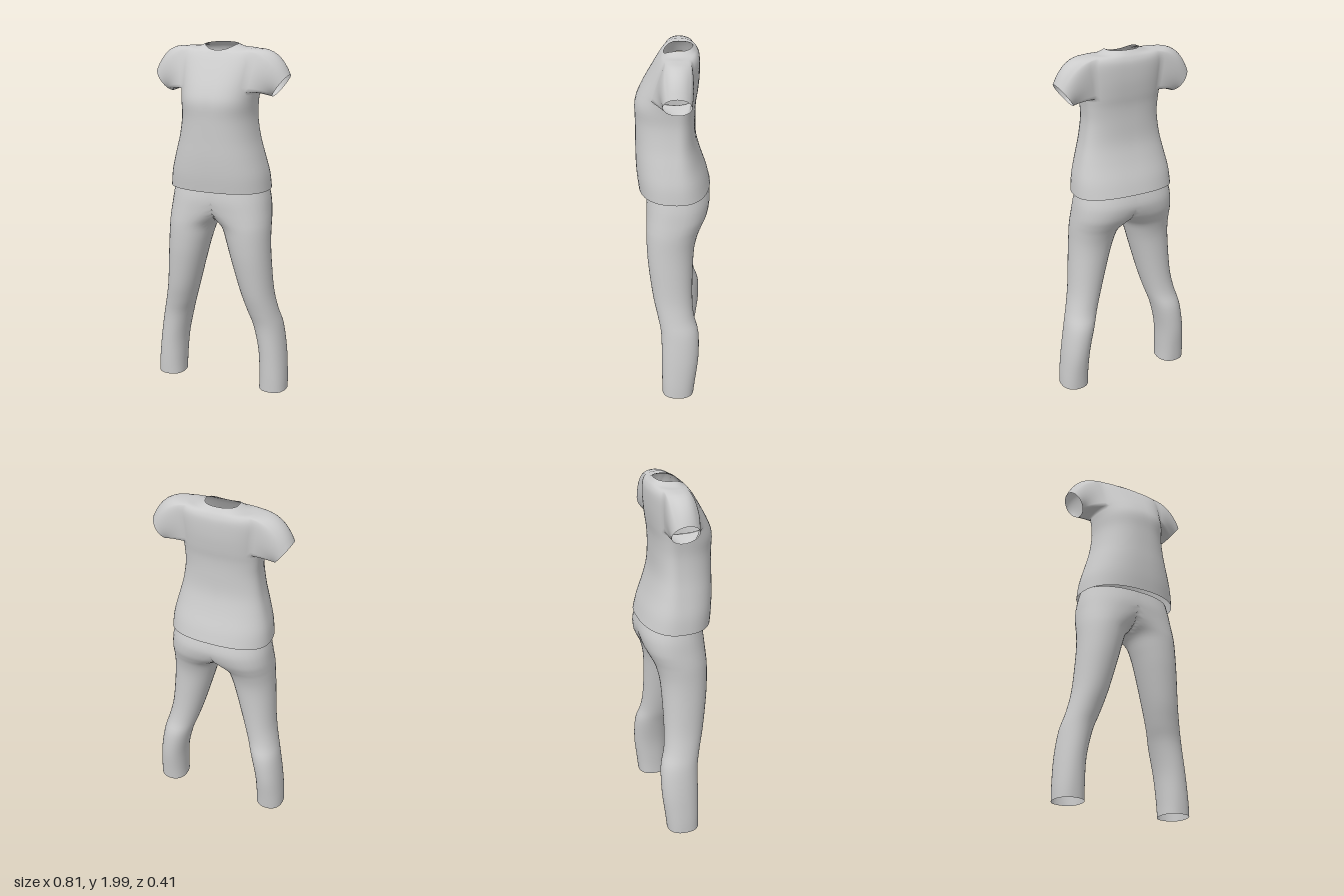
import * as THREE from 'three';
import { mergeVertices } from 'three/addons/utils/BufferGeometryUtils.js';

const STEPS = 4; // rows between two key sections

// Smooth (Catmull-Rom) in-between rows for a list of key sections
function refine(keys) {
  const rows = [];
  const last = keys.length - 1;
  const blend = (a, b, c, d, t) => 0.5 * (2 * b + (c - a) * t
    + (2 * a - 5 * b + 4 * c - d) * t * t + (3 * b - a - 3 * c + d) * t * t * t);
  for (let i = 0; i < last; i++) {
    const [a, b, c, d] = [keys[Math.max(i - 1, 0)], keys[i], keys[i + 1], keys[Math.min(i + 2, last)]];
    for (let s = 0; s < STEPS; s++) {
      rows.push(b.map((v, k) => blend(a[k], v, c[k], d[k], s / STEPS)));
    }
  }
  rows.push(keys[last]);
  return rows;
}

// Rounded-box power of a sine or cosine
const soft = (v, n) => Math.sign(v) * Math.pow(Math.abs(v), 2 / n);

// Triangles between rows of points, added to out; skip(i, j) leaves a cell open
function addGrid(out, rows, skip = () => false) {
  const tri = (...p) => {
    if (p.every((v) => v.x < 1e-5)) return; // no wall on the middle plane
    out.push(p);
  };
  for (let i = 0; i < rows.length - 1; i++) {
    for (let j = 0; j < rows[i].length - 1; j++) {
      if (skip(i, j)) continue;
      const [a, b, c, d] = [rows[i][j], rows[i + 1][j], rows[i + 1][j + 1], rows[i][j + 1]];
      tri(a, b, c);
      tri(a, c, d);
    }
  }
}

// Left half plus its mirror image, welded so the middle stays smooth
function mirroredMesh(tris, name, material) {
  const pos = [];
  for (const [a, b, c] of tris) {
    for (const p of [a, b, c]) pos.push(p.x, p.y, p.z);
    for (const p of [a, c, b]) pos.push(-p.x, p.y, p.z);
  }
  let geo = new THREE.BufferGeometry();
  geo.setAttribute('position', new THREE.Float32BufferAttribute(pos, 3));
  geo = mergeVertices(geo, 1e-4);
  geo.computeVertexNormals();
  const mesh = new THREE.Mesh(geo, material);
  mesh.name = name;
  return mesh;
}

function makeShirt(material) {
  const tris = [];
  const zc = -0.02;
  const cols = 24;
  // y front, y side, y back, half width, z front, z back, squareness
  const rows = refine([
    [1.215, 1.21, 1.225, 0.285, 0.195, -0.2, 2.4],
    [1.3, 1.3, 1.3, 0.275, 0.205, -0.18, 2.4],
    [1.4, 1.4, 1.4, 0.25, 0.21, -0.145, 2.4],
    [1.5, 1.5, 1.5, 0.224, 0.21, -0.12, 2.4],
    [1.61, 1.61, 1.61, 0.207, 0.21, -0.115, 2.4],
    [1.7, 1.69, 1.7, 0.208, 0.21, -0.117, 2.5],
    [1.77, 1.755, 1.77, 0.215, 0.185, -0.127, 2.5],
    [1.85, 1.85, 1.85, 0.225, 0.14, -0.135, 2.5],
    [1.92, 1.935, 1.93, 0.232, 0.095, -0.135, 2.5],
    [1.95, 1.976, 1.965, 0.21, 0.072, -0.125, 2.4],
    [1.962, 1.978, 1.985, 0.14, 0.062, -0.11, 2.2],
    [1.967, 1.996, 2.0, 0.09, 0.055, -0.095, 2.3],
  ]).map(([yf, ys, yb, rx, zf, zb, n]) => Array.from({ length: cols + 1 }, (_, j) => {
    const a = (j / cols - 0.5) * Math.PI;
    const s = Math.sin(a);
    const y = ys + ((s > 0 ? yf : yb) - ys) * s * s;
    const rz = s > 0 ? zf - zc : zc - zb;
    return new THREE.Vector3(rx * soft(Math.cos(a), n), y, zc + rz * soft(s, n));
  }));

  // Body with an open armhole
  const [lo, hi, left, right] = [6 * STEPS, 9 * STEPS, 7, 17];
  addGrid(tris, rows, (i, j) => i >= lo && i < hi && j >= left && j < right);

  // Armhole edge, walked once around
  const edge = [];
  for (let j = left; j < right; j++) edge.push([lo, j]);
  for (let i = lo; i < hi; i++) edge.push([i, right]);
  for (let j = right; j > left; j--) edge.push([hi, j]);
  for (let i = hi; i >= lo; i--) edge.push([i, left]);

  // Sleeve: each edge point curves over the shoulder to the tilted cuff
  const curves = edge.map(([i, j]) => {
    const a = Math.atan2((2 * i - lo - hi) / (hi - lo), (2 * j - left - right) / (right - left));
    const [c, s] = [Math.cos(a), Math.sin(a)];
    const cuff = new THREE.Vector3(0.34 + 0.045 * s, 1.786 + 0.06 * s, -0.024 + 0.074 * c);
    const lift = (1 + s) / 2;
    const mid = rows[i][j].clone().lerp(cuff, 0.5)
      .add(new THREE.Vector3(0.03 * lift, 0.075 * lift, 0.012 * c));
    return new THREE.QuadraticBezierCurve3(rows[i][j], mid, cuff);
  });
  addGrid(tris, Array.from({ length: 9 }, (_, k) => curves.map((q) => q.getPoint(k / 8))));
  return mirroredMesh(tris, 'shirt', material);
}

function makeTrousers(material) {
  const tris = [];
  const cols = 36;
  // y, outer x, inner x, z front, z back, squareness; inner x < 0 merges with the other leg
  const rows = refine([
    [0.012, 0.404, 0.243, 0.06, -0.12, 2.3],
    [0.1, 0.402, 0.242, 0.062, -0.13, 2.2],
    [0.25, 0.39, 0.232, 0.063, -0.147, 2.1],
    [0.4, 0.368, 0.2, 0.068, -0.145, 2.1],
    [0.5, 0.343, 0.168, 0.088, -0.118, 2.1],
    [0.62, 0.32, 0.132, 0.115, -0.108, 2.1],
    [0.8, 0.306, 0.083, 0.14, -0.11, 2.1],
    [0.91, 0.3, 0.052, 0.148, -0.118, 2.1],
    [0.99, 0.298, 0.022, 0.15, -0.138, 2.1],
    [1.04, 0.295, -0.035, 0.15, -0.162, 2.2],
    [1.09, 0.29, -0.11, 0.15, -0.186, 2.3],
    [1.16, 0.282, -0.21, 0.15, -0.2, 2.3],
    [1.23, 0.268, -0.268, 0.14, -0.187, 2.3],
  ]).map(([y, xo, xi, zf, zb, n]) => Array.from({ length: cols + 1 }, (_, j) => {
    const a = ((j % cols) / cols) * Math.PI * 2;
    const x = (xo + xi) / 2 + ((xo - xi) / 2) * soft(Math.cos(a), n);
    return new THREE.Vector3(Math.max(x, 0), y, (zf + zb) / 2 + ((zf - zb) / 2) * soft(Math.sin(a), n));
  }));
  addGrid(tris, rows);
  return mirroredMesh(tris, 'trousers', material);
}

export function createModel() {
  const material = new THREE.MeshStandardMaterial({ color: 0xcccccc, side: THREE.DoubleSide });
  const group = new THREE.Group();
  group.name = 'outfit';
  group.add(makeShirt(material), makeTrousers(material));
  return group;
}
